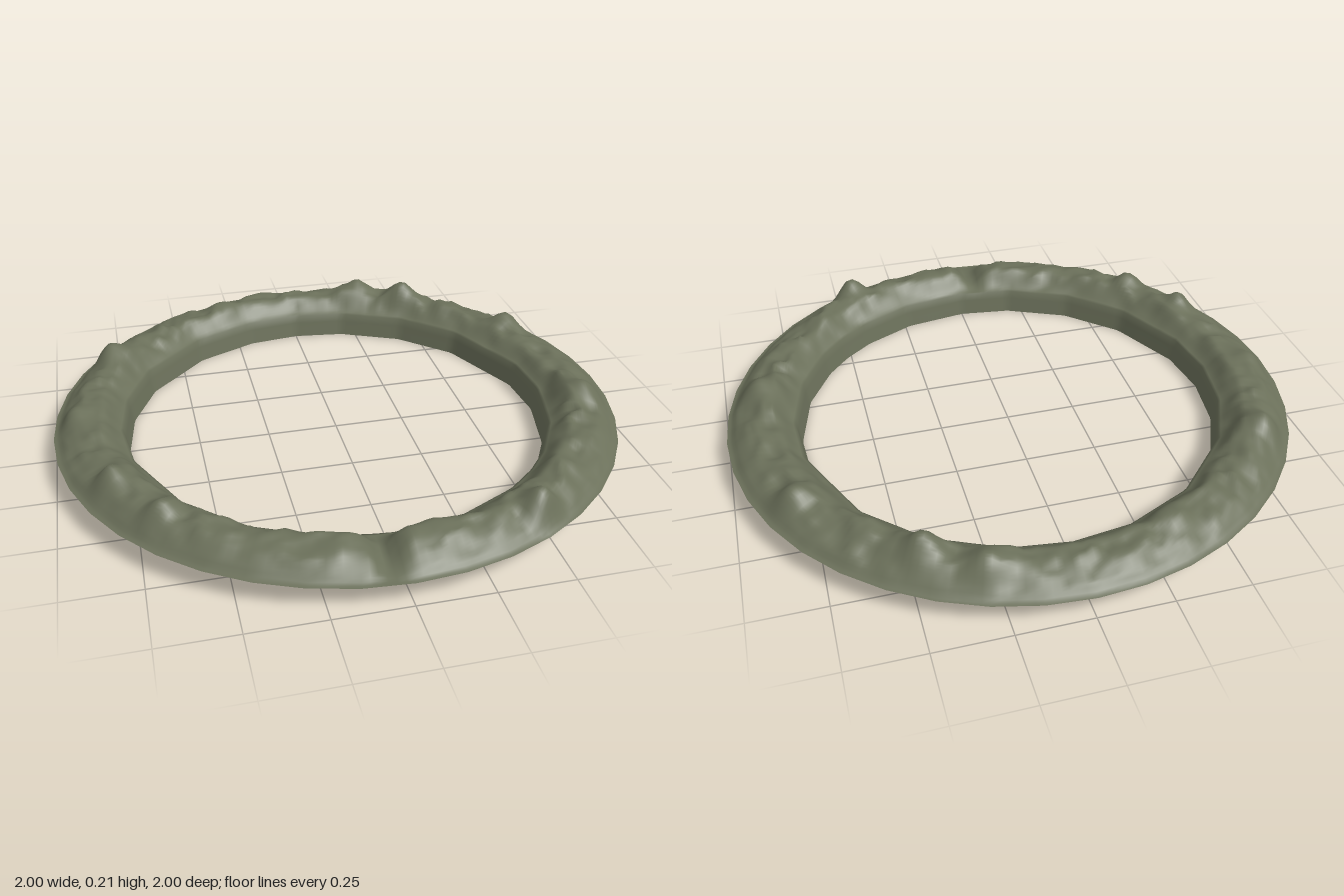
import * as THREE from 'three';

const BASE = 0.085; // height of the outer foot and of the wall top
const SEGMENTS = 240;
const ROWS = 26; // rows of terrain from outer foot to inner rim
const WALL_ROWS = 3;

// Main summits: x, z, crest height, spread
const SUMMITS = [
  [0.45, 0.80, 0.205, 0.055], [-0.77, -0.46, 0.20, 0.055], [0.86, 0.20, 0.19, 0.06],
  [0.46, -0.73, 0.212, 0.055], [0.29, -0.84, 0.195, 0.045], [-0.81, 0.37, 0.195, 0.05],
  [-0.67, 0.58, 0.19, 0.05], [-0.91, -0.06, 0.165, 0.05], [0.80, -0.40, 0.185, 0.05],
  [-0.30, -0.80, 0.165, 0.05], [-0.20, 0.85, 0.155, 0.05], [0.12, 0.84, 0.16, 0.05],
];

// Corner angles of the hole, in degrees
const HOLE = [4, 22, 37, 46, 56, 72, 90, 105, 124, 143, 165, 180, 196, 213, 236, 255, 270, 285, 304, 323, 349, 364];
const RIM = Array.from({ length: 41 }, (_, i) => i * 9);

// Radius at an angle of a unit polygon with the given corners
function polygonRadius(corners, degrees) {
  const d = degrees < corners[0] ? degrees + 360 : degrees;
  let k = 0;
  while (k < corners.length - 2 && d > corners[k + 1]) k++;
  const half = (corners[k + 1] - corners[k]) / 2;
  const rad = Math.PI / 180;
  return Math.cos(half * rad) / Math.cos((d - corners[k] - half) * rad);
}

// Smooth seeded value noise in 0..1
function hash(i, j) {
  let h = (Math.imul(i, 374761393) + Math.imul(j, 668265263) + 1234567) | 0;
  h = Math.imul(h ^ (h >>> 13), 1274126177);
  return ((h ^ (h >>> 16)) >>> 0) / 4294967295;
}
function noise(x, z) {
  const i = Math.floor(x), j = Math.floor(z);
  const s = THREE.MathUtils.smoothstep(x - i, 0, 1), t = THREE.MathUtils.smoothstep(z - j, 0, 1);
  const { lerp } = THREE.MathUtils;
  return lerp(lerp(hash(i, j), hash(i + 1, j), s), lerp(hash(i, j + 1), hash(i + 1, j + 1), s), t);
}

// Terrain height; t runs from 0 at the outer foot to 1 at the inner rim
function terrainHeight(x, z, t) {
  const rise = THREE.MathUtils.smoothstep(t, -0.25, 0.6) - 0.21 * Math.max(0, 1 - t / 0.3);
  const fall = 1 - THREE.MathUtils.smoothstep(t, 0.66, 1.04);
  const envelope = Math.max(0, rise) * fall * Math.min(1, t * 8);
  const ridge = 1 - Math.abs(2 * noise(x * 13, z * 13) - 1);
  const rough = 0.028 + 0.024 * noise(x * 7 + 9, z * 7) + 0.026 * ridge + 0.014 * noise(x * 30, z * 30);
  let h = rough * envelope;
  const edge = Math.min(1, t * 5) * Math.min(1, (1 - t) * 5);
  for (const [sx, sz, top, spread] of SUMMITS) {
    const d2 = (x - sx) ** 2 + (z - sz) ** 2;
    const bump = Math.exp(-d2 / (spread * spread)) * edge;
    h += Math.max(0, top - BASE - h) * bump;
  }
  // Low pass through the ridge at the front
  if (z > 0) h *= 1 - 0.9 * Math.exp(-(((x + 0.06) / 0.045) ** 2));
  return BASE + h;
}

// One open sheet: mountain band, then the sloping wall of the hole
function mountainRingGeometry() {
  const positions = [], indices = [];
  const total = ROWS + WALL_ROWS;
  for (let j = 0; j <= total; j++) {
    for (let i = 0; i < SEGMENTS; i++) {
      const degrees = (i / SEGMENTS) * 360, a = THREE.MathUtils.degToRad(degrees);
      const outer = polygonRadius(RIM, degrees), hole = polygonRadius(HOLE, degrees);
      const t = Math.min(1, j / ROWS), w = Math.max(0, (j - ROWS) / WALL_ROWS);
      const r = THREE.MathUtils.lerp(outer, 0.763 * hole, t) - 0.016 * w;
      const x = r * Math.cos(a), z = r * Math.sin(a);
      const y = w > 0 ? BASE * (1 - w) : terrainHeight(x, z, t);
      positions.push(x, y, z);
      if (j < total) {
        const n = (i + 1) % SEGMENTS;
        const p = j * SEGMENTS + i, q = j * SEGMENTS + n;
        indices.push(p, p + SEGMENTS, q, q, p + SEGMENTS, q + SEGMENTS);
      }
    }
  }
  const geometry = new THREE.BufferGeometry();
  geometry.setAttribute('position', new THREE.Float32BufferAttribute(positions, 3));
  geometry.setIndex(indices);
  geometry.computeVertexNormals();
  return geometry;
}

export function createModel() {
  const group = new THREE.Group();
  group.name = 'mountainRange';
  const rock = new THREE.MeshStandardMaterial({ color: 0x6b705a, side: THREE.DoubleSide });
  rock.name = 'mossy rock';
  const ring = new THREE.Mesh(mountainRingGeometry(), rock);
  ring.name = 'mountainRing';
  group.add(ring);
  return group;
}
